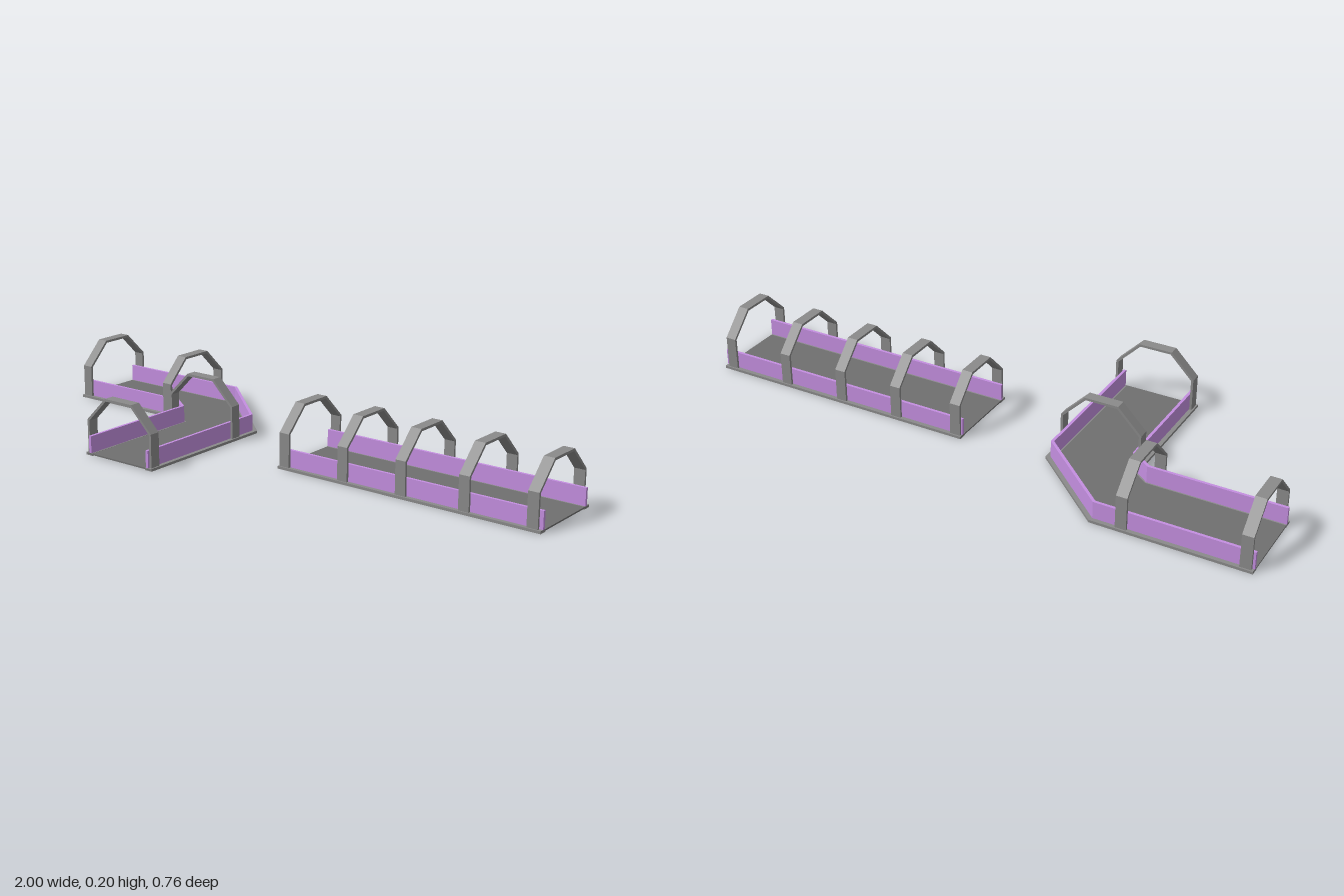
import * as THREE from 'three';

const GREY = new THREE.MeshStandardMaterial({ color: 0x8a8a8a });
const FLOOR = new THREE.MeshStandardMaterial({ color: 0x707070 });
const PURPLE = new THREE.MeshStandardMaterial({ color: 0xc48fe0 });

// shift an open polyline sideways by d, with mitred corners (positive = right of travel for y down)
function offset(points, d) {
  const pts = points.map(([x, y]) => new THREE.Vector2(x, y));
  const normals = pts.slice(1).map((p, i) => {
    const t = p.clone().sub(pts[i]).normalize();
    return new THREE.Vector2(-t.y, t.x);
  });
  return pts.map((p, i) => {
    const a = normals[Math.max(i - 1, 0)], b = normals[Math.min(i, normals.length - 1)];
    const m = a.clone().add(b);
    return p.clone().addScaledVector(m, d / (1 + a.dot(b)));
  });
}

function extrude(points, depth) {
  return new THREE.ExtrudeGeometry(new THREE.Shape(points), { depth, bevelEnabled: false });
}

// plan shape (x, z) raised between two heights
function slab(name, points, y0, y1, material) {
  const geometry = extrude(points, y1 - y0).rotateX(Math.PI / 2).translate(0, y1, 0);
  const mesh = new THREE.Mesh(geometry, material);
  mesh.name = name;
  return mesh;
}

// ribbon along a plan polyline, between two sideways offsets
function strip(name, line, d0, d1, y0, y1, material) {
  return slab(name, [...offset(line, d0), ...offset(line, d1).reverse()], y0, y1, material);
}

// flat-topped hoop with sloped shoulders, facing z unless turned
function arch(x, z, turned) {
  const line = [[-0.1375, 0.004], [-0.1375, 0.118], [-0.057, 0.199],
    [0.057, 0.199], [0.1375, 0.118], [0.1375, 0.004]];
  const points = [...offset(line, 0), ...offset(line, -0.008).reverse()];
  const mesh = new THREE.Mesh(extrude(points, 0.036).translate(0, 0, -0.018), GREY);
  mesh.name = 'arch';
  mesh.position.set(x, 0, z);
  if (turned) mesh.rotation.y = Math.PI / 2;
  return mesh;
}

// walkway between two edge lines; the right side of "back" and left side of "front" point inwards
function walkway(name, back, front) {
  const group = new THREE.Group();
  group.name = name;
  group.add(slab('floor', [...offset(back, 0.005), ...offset(front, -0.005).reverse()], 0.003, 0.008, FLOOR));
  for (const [line, s] of [[back, 1], [front, -1]]) {
    group.add(strip('edgeBeam', line, 0, 0.028 * s, 0, 0.0085, GREY));
    group.add(strip('sideWall', line, 0.014 * s, 0.0235 * s, 0.006, 0.065, PURPLE));
  }
  return group;
}

export function createModel() {
  const model = new THREE.Group();
  model.name = 'walkways';

  // straight section
  const straight = walkway('straightWalkway',
    [[0.068, -0.1735], [1, -0.1735]], [[0.068, 0.1115], [1, 0.1115]]);
  for (const x of [0.09, 0.313, 0.525, 0.745, 0.97]) straight.add(arch(x, -0.031, true));

  // corner section with chamfered bend
  const corner = walkway('cornerWalkway',
    [[-1, -0.38], [-0.49, -0.38], [-0.22, -0.14], [-0.22, 0.38]],
    [[-1, -0.095], [-0.56, -0.095], [-0.505, -0.055], [-0.505, 0.38]]);
  for (const x of [-0.975, -0.59]) corner.add(arch(x, -0.2375, true));
  for (const z of [-0.035, 0.356]) corner.add(arch(-0.3625, z, false));

  model.add(straight, corner);
  return model;
}
